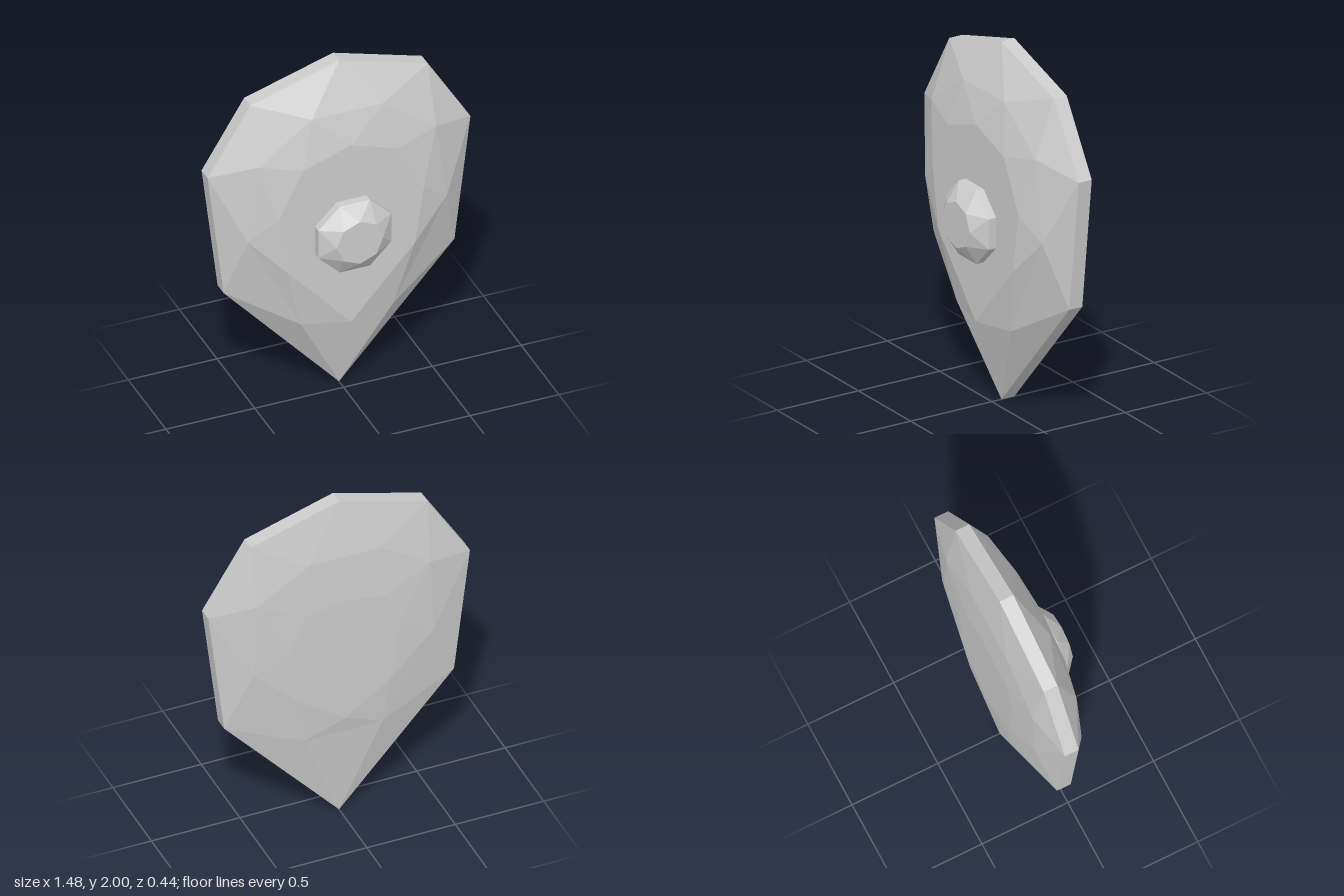
import * as THREE from 'three';

const at = (ring, z) => ring.map(([x, y]) => new THREE.Vector3(x, y, z));
// Mirror the +x half of a ring, listed from bottom to top, into a closed loop
const mirror = (half) => [...half, ...half.filter(([x]) => x > 0).reverse().map(([x, y]) => [-x, y])];
const octagon = (radius, turn, cy) => Array.from({ length: 8 }, (_, k) => {
  const a = (k + turn) * Math.PI / 4;
  return [radius * Math.cos(a), cy + radius * Math.sin(a)];
});

function facetMesh(name, triangles) {
  const geometry = new THREE.BufferGeometry().setFromPoints(triangles.flat());
  geometry.computeVertexNormals();
  const mesh = new THREE.Mesh(geometry, new THREE.MeshStandardMaterial({ color: 0xcccccc, flatShading: true }));
  mesh.name = name;
  return mesh;
}

const fan = (ring) => ring.slice(2).map((p, i) => [ring[0], ring[i + 1], p]);
const flip = (triangles) => triangles.map(([a, b, c]) => [a, c, b]);

// Cut-gem facets: girdle ring, offset middle ring and an optional table ring
function crown(girdle, middle, table) {
  const n = girdle.length;
  const out = fan(table || middle);
  for (let k = 0; k < n; k++) {
    const next = (k + 1) % n, prev = (k + n - 1) % n;
    out.push([girdle[k], girdle[next], middle[k]], [middle[prev], girdle[k], middle[k]]);
    if (table) out.push([middle[prev], middle[k], table[k]], [table[k], middle[k], table[next]]);
  }
  return out;
}

// Straight wall between a front ring and a matching back ring
function wall(front, back) {
  return front.flatMap((p, k) => {
    const next = (k + 1) % front.length;
    return [[p, back[k], back[next]], [p, back[next], front[next]]];
  });
}

export function createModel() {
  const model = new THREE.Group();
  model.name = 'facetedShield';

  // Pointed outline shared by both faces
  const outline = mirror([[0, 0], [0.65, 0.72], [0.74, 1.46], [0.5, 1.85], [0, 2]]);
  const front = at(outline, -0.06), back = at(outline, -0.14);
  model.add(facetMesh('rim', wall(front, back)));

  // Deep front facets around a flat table
  model.add(facetMesh('frontFacets', crown(
    front,
    at(mirror([[0.26, 0.49], [0.56, 1.08], [0.5, 1.53], [0.2, 1.75]]), 0.05),
    at(mirror([[0, 0.47], [0.36, 0.87], [0.41, 1.2], [0.27, 1.48], [0, 1.57]]), 0.1),
  )));

  // Shallower back facets
  model.add(facetMesh('backFacets', flip(crown(
    back,
    at(mirror([[0.22, 0.55], [0.51, 1.06], [0.49, 1.5], [0.2, 1.68]]), -0.2),
    at(mirror([[0, 0.65], [0.26, 0.83], [0.31, 1.17], [0.23, 1.37], [0, 1.41]]), -0.22),
  ))));

  // Small eight-sided stone set on the front
  const stone = octagon(0.222, 0.5, 1.035);
  const stoneFront = at(stone, 0.15), stoneBack = at(stone, 0.105);
  model.add(facetMesh('centreStone', [
    ...crown(stoneFront, at(octagon(0.13, 1, 1.035), 0.22)),
    ...wall(stoneFront, stoneBack),
    ...flip(fan(stoneBack)),
  ]));
  return model;
}
